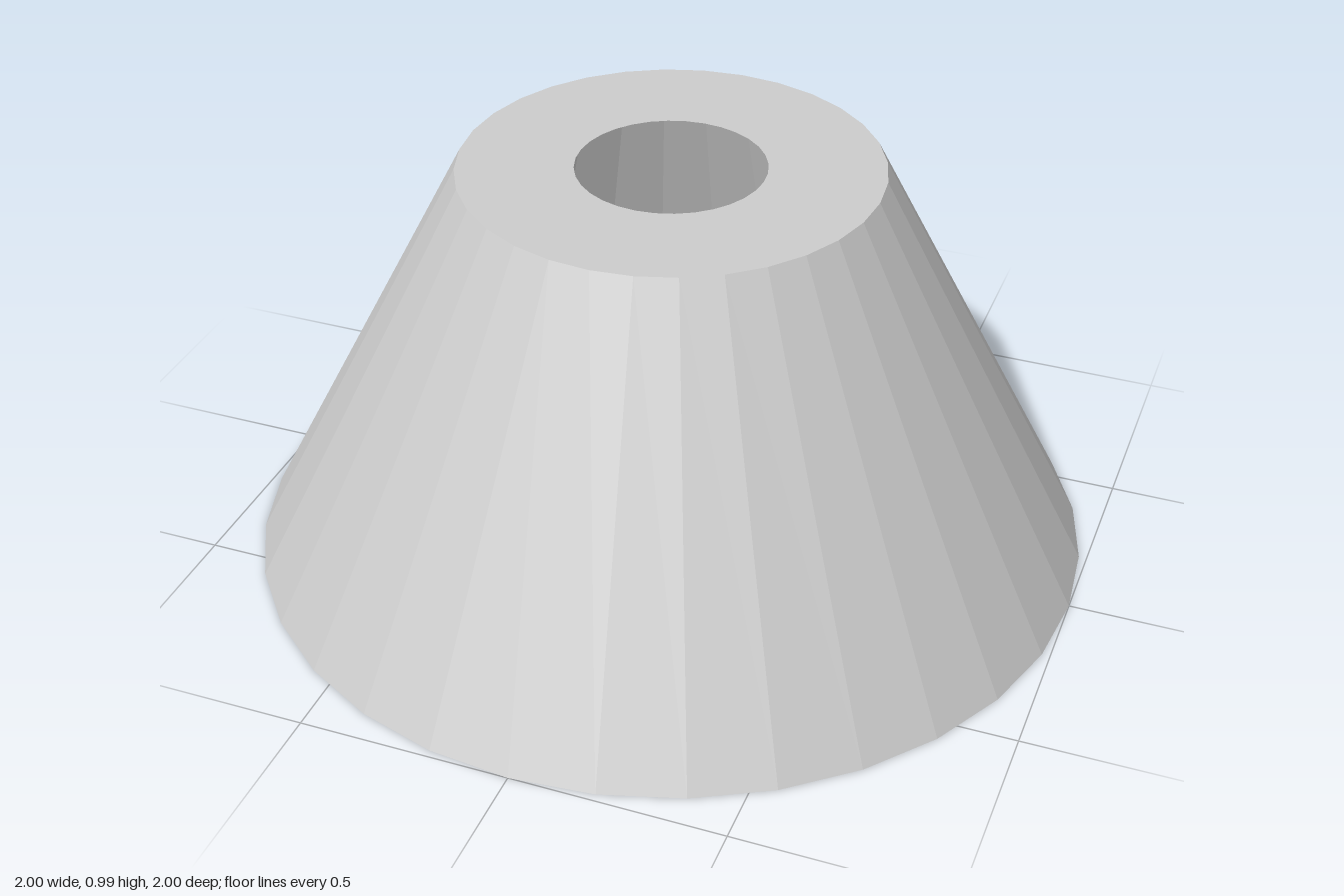
import * as THREE from 'three';

export function createModel() {
  const group = new THREE.Group();
  group.name = 'hollowCone';

  // Wall section: the wall thins towards the top,
  // where a thin plate reaches inward to the hole rim
  const section = [
    [0.47, 0.985], [0.84, 0], [1, 0], [0.49, 0.985], [0.22, 0.985],
  ].map(([r, y]) => new THREE.Vector2(r, y));

  // 32-sided faceted shell, open at the bottom and through the top hole
  const shell = new THREE.Mesh(
    new THREE.LatheGeometry(section, 32),
    new THREE.MeshStandardMaterial({
      color: 0xcccccc, flatShading: true, side: THREE.DoubleSide,
    }),
  );
  shell.name = 'coneShell';
  group.add(shell);

  return group;
}
